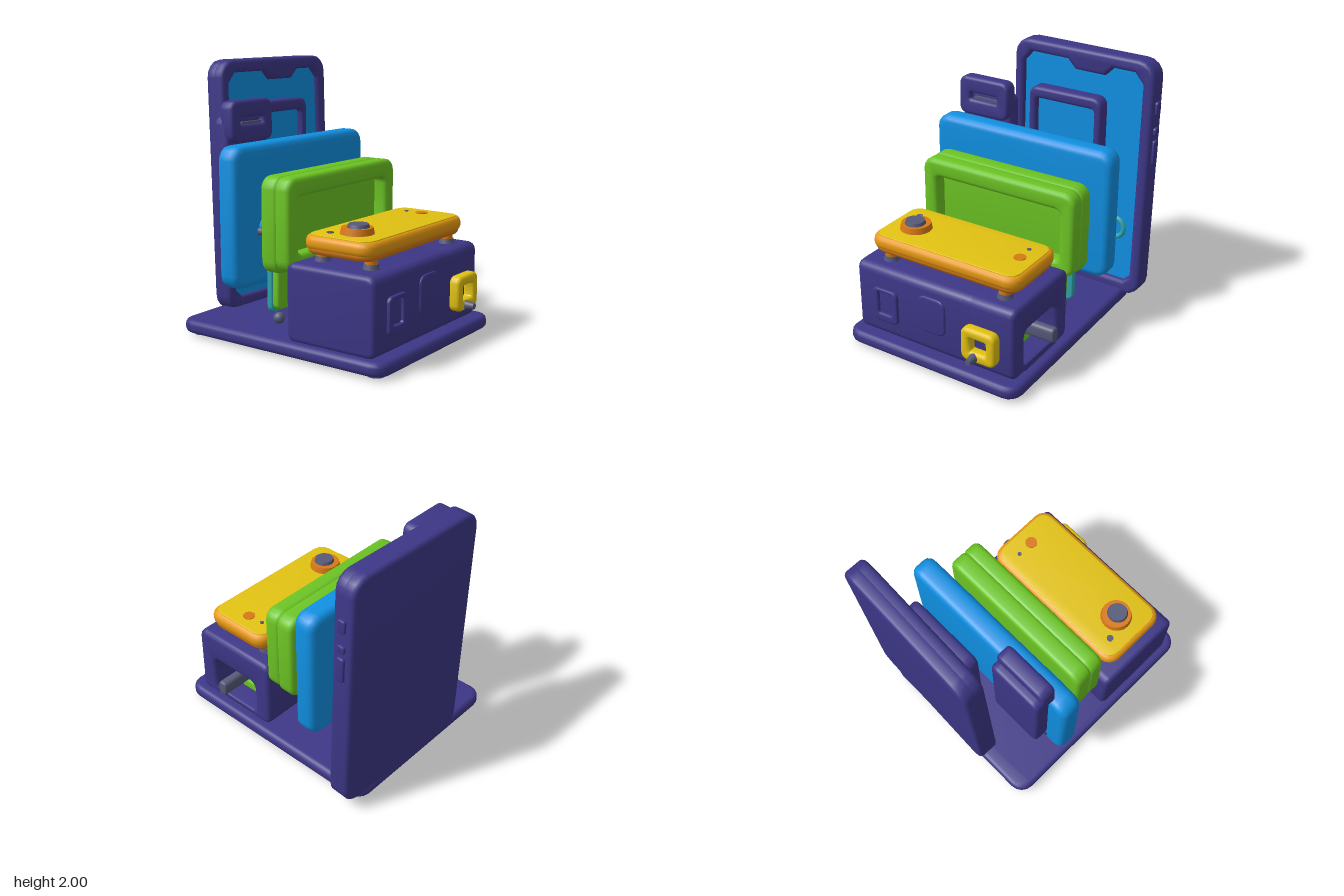
import * as THREE from 'three';
import { toCreasedNormals } from 'three/addons/utils/BufferGeometryUtils.js';

const material = (name, color) => {
  const m = new THREE.MeshStandardMaterial({ color });
  m.name = name;
  return m;
};

export function createModel() {
  const root = new THREE.Group();
  root.name = 'explodedDevice';
  const purple = material('deep purple', 0x3d3787);
  const blue = material('bright blue', 0x1090e2);
  const green = material('leaf green', 0x6cc424);
  const yellow = material('yellow', 0xe2c212);
  const amber = material('amber', 0xf0a014);
  const orange = material('orange', 0xd87a14);
  const grey = material('slate grey', 0x565a78);
  const teal = material('teal', 0x2fa8ae);

  // Rounded rectangle outline, usable as shape or hole
  function roundRect(path, x0, x1, y0, y1, r) {
    const corners = [[x1 - r, y0 + r, -0.5], [x1 - r, y1 - r, 0], [x0 + r, y1 - r, 0.5], [x0 + r, y0 + r, 1]];
    const pts = [];
    for (const [cx, cy, a] of corners)
      for (let i = 0; i <= 4; i++) {
        const t = (a + i / 8) * Math.PI;
        pts.push(new THREE.Vector2(cx + r * Math.cos(t), cy + r * Math.sin(t)));
      }
    return path.setFromPoints(pts);
  }

  function add(name, geo, mat, x = 0, y = 0, z = 0, parent = root) {
    const mesh = new THREE.Mesh(geo, mat);
    mesh.name = name;
    mesh.position.set(x, y, z);
    parent.add(mesh);
    return mesh;
  }

  // Soft-edged slab filling the given ranges, with its outline facing along the axis
  function slab(name, mat, X, Y, Z, { axis = 'z', r = 0.06, bevel = 0.03, holes = [], parent = root } = {}) {
    const size = [X, Y, Z].map(([a, b]) => b - a);
    const [w, h, d] = axis === 'z' ? size : axis === 'y' ? [size[0], size[2], size[1]] : [size[2], size[1], size[0]];
    const shape = roundRect(new THREE.Shape(), -w / 2, w / 2, -h / 2, h / 2, r);
    shape.holes.push(...holes);
    let geo = new THREE.ExtrudeGeometry(shape, {
      depth: d - 2 * bevel, bevelEnabled: bevel > 0, bevelThickness: bevel,
      bevelSize: bevel, bevelOffset: -bevel, bevelSegments: 3,
    });
    geo.translate(0, 0, bevel - d / 2);
    if (axis === 'y') geo.rotateX(-Math.PI / 2);
    if (axis === 'x') geo.rotateY(Math.PI / 2);
    geo = toCreasedNormals(geo, 0.75);
    return add(name, geo, mat, (X[0] + X[1]) / 2, (Y[0] + Y[1]) / 2, (Z[0] + Z[1]) / 2, parent);
  }

  const hole = (...a) => roundRect(new THREE.Path(), ...a);
  function disc(name, mat, r, len, x, y, z, axis = 'y', r2 = r) {
    const geo = new THREE.CylinderGeometry(r2, r, len, 20);
    if (axis === 'z') geo.rotateX(Math.PI / 2);
    if (axis === 'x') geo.rotateZ(-Math.PI / 2);
    return add(name, geo, mat, x, y, z);
  }

  // Base plate and feet
  slab('basePlate', purple, [-0.81, 0.67], [0.02, 0.12], [-0.88, 0.91], { axis: 'y', r: 0.11, bevel: 0.035 });
  for (const x of [-0.69, 0.55])
    for (const z of [-0.76, 0.79]) disc('foot', grey, 0.06, 0.03, x, 0.015, z);

  // Back panel: solid back, raised rim with a notched opening, blue lining
  const panel = new THREE.Group();
  panel.name = 'backPanel';
  panel.position.set(0.2, 1.04, -0.827);
  panel.rotation.set(-0.025, -0.035, 0);
  root.add(panel);
  const opening = new THREE.Path().setFromPoints([
    [-0.46, -0.85], [0.45, -0.85], [0.51, -0.79], [0.51, 0.78], [0.44, 0.86], [0.26, 0.86],
    [0.19, 0.79], [-0.06, 0.79], [-0.13, 0.86], [-0.45, 0.86], [-0.52, 0.78], [-0.52, -0.79],
  ].map(([x, y]) => new THREE.Vector2(x, y)));
  slab('panelBack', purple, [-0.6, 0.6], [-0.96, 0.955], [-0.085, 0.035], { r: 0.13, parent: panel });
  slab('panelRim', purple, [-0.6, 0.6], [-0.96, 0.955], [-0.04, 0.085], { r: 0.13, holes: [opening], parent: panel });
  slab('panelLining', blue, [-0.54, 0.53], [-0.87, 0.88], [0.03, 0.04], { bevel: 0, parent: panel });
  for (const [y0, y1] of [[0.16, 0.35], [0.39, 0.45], [0.55, 0.65]])
    slab('sideButton', purple, [0.59, 0.62], [y0, y1], [-0.03, 0.03], { axis: 'x', r: 0.015, bevel: 0.008, parent: panel });
  const ring = new THREE.Mesh(new THREE.TorusGeometry(0.08, 0.02, 8, 24), teal);
  ring.name = 'panelRing';
  ring.position.set(0.34, -0.42, 0.045);
  panel.add(ring);

  // Framed screen in front of the back panel
  slab('screenFrame', purple, [-0.19, 0.43], [1.04, 1.68], [-0.77, -0.645],
    { r: 0.07, bevel: 0.025, holes: [hole(-0.25, 0.25, -0.25, 0.23, 0.03)] });
  slab('screenFace', blue, [-0.16, 0.4], [1.07, 1.65], [-0.705, -0.697], { r: 0.05, bevel: 0 });

  // Tall upright module with a slotted head
  slab('uprightBody', purple, [-0.69, -0.25], [0.72, 1.62], [-0.61, -0.48]);
  const head = slab('uprightHead', purple, [-0.69, -0.25], [1.43, 1.73], [-0.55, -0.43],
    { holes: [hole(-0.12, 0.12, -0.025, 0.025, 0.01)], bevel: 0.025 });
  head.rotation.x = -0.04;
  slab('headSlot', grey, [-0.57, -0.35], [1.55, 1.575], [-0.48, -0.455], { r: 0.008, bevel: 0 });

  // Blue plate with a rear rivet
  slab('bluePlate', blue, [-0.82, 0.71], [0.41, 1.43], [-0.475, -0.3], { r: 0.1, bevel: 0.05 });
  disc('rearRivet', purple, 0.035, 0.01, -0.64, 0.53, -0.477, 'z');

  // Spacers, hanging strips and ball pins behind the green plate
  for (const x of [-0.47, 0.39]) {
    disc('spacer', blue, 0.1, 0.09, x, 0.82, -0.275, 'z', 0.12);
    slab('tealStrip', teal, [x - 0.1, x + 0.1], [0.22, 0.94], [-0.24, -0.19], { r: 0.05, bevel: 0.012 });
    slab('greenStrip', green, [x - 0.1, x + 0.06], [0.25, 0.6], [-0.19, -0.13], { r: 0.04, bevel: 0.015 });
    add('ballPin', new THREE.SphereGeometry(0.043, 14, 10), grey, x, 0.16, -0.21);
    disc('sideBolt', grey, 0.03, 0.07, x + Math.sign(x) * 0.14, 0.82, -0.225, 'z');
  }

  // Green tray: deep front rim over a solid rear layer
  slab('trayRear', green, [-0.69, 0.62], [0.54, 1.23], [-0.195, -0.045], { r: 0.09, bevel: 0.035 });
  slab('trayRim', green, [-0.69, 0.62], [0.56, 1.23], [-0.07, 0.065],
    { r: 0.09, bevel: 0.035, holes: [hole(-0.535, 0.535, -0.21, 0.195, 0.04)] });

  // Main box with a recess in its left end
  slab('boxBody', purple, [-0.75, 0.28], [0.11, 0.67], [0.08, 0.81], { axis: 'x', r: 0.06, bevel: 0.035 });
  slab('boxOpenEnd', purple, [0.14, 0.6], [0.11, 0.67], [0.08, 0.81],
    { axis: 'x', r: 0.06, bevel: 0.035, holes: [hole(-0.215, 0.215, -0.24, 0.055, 0.05)] });
  slab('axleRod', grey, [0.25, 0.72], [0.29, 0.405], [0.415, 0.49], { axis: 'x', r: 0.03, bevel: 0.015 });
  slab('innerBlock', green, [0.28, 0.42], [0.13, 0.22], [0.3, 0.55], { r: 0.02, bevel: 0.01 });
  slab('rearPad', purple, [-0.2, 0.04], [0.23, 0.5], [0.045, 0.1], { r: 0.04, bevel: 0.015 });

  // Front fittings of the box
  slab('smallFrame', purple, [-0.6, -0.38], [0.24, 0.51], [0.79, 0.835],
    { r: 0.04, bevel: 0.012, holes: [hole(-0.06, 0.06, -0.07, 0.11, 0.015)] });
  slab('frontPad', purple, [-0.2, 0.035], [0.28, 0.57], [0.79, 0.825], { r: 0.06, bevel: 0.012 });
  slab('portFrame', yellow, [0.21, 0.49], [0.22, 0.48], [0.8, 0.89],
    { r: 0.05, bevel: 0.025, holes: [hole(-0.065, 0.065, -0.05, 0.055, 0.01)] });
  disc('portPin', grey, 0.038, 0.09, 0.32, 0.26, 0.91, 'z', 0.022);

  // Yellow lid on standoffs
  for (const x of [-0.55, 0.43])
    for (const z of [0.25, 0.65]) {
      disc('standoff', orange, 0.045, 0.05, x, 0.72, z);
      disc('standoffCollar', grey, 0.06, 0.04, x, 0.685, z, 'y', 0.05);
    }
  slab('lidBottom', orange, [-0.68, 0.555], [0.73, 0.82], [0.17, 0.72], { axis: 'y', r: 0.1, bevel: 0.04 });
  slab('lidSides', amber, [-0.69, 0.565], [0.76, 0.866], [0.16, 0.73], { axis: 'y', r: 0.1, bevel: 0.04 });
  slab('lidTop', yellow, [-0.66, 0.535], [0.862, 0.87], [0.19, 0.7], { axis: 'y', r: 0.08, bevel: 0.003 });

  // Knob, socket and screws on the lid
  disc('knobBase', orange, 0.12, 0.05, -0.455, 0.89, 0.47, 'y', 0.11);
  disc('knobCap', grey, 0.08, 0.03, -0.455, 0.924, 0.48, 'y', 0.07);
  disc('socket', orange, 0.045, 0.008, 0.415, 0.872, 0.44);
  disc('screw', grey, 0.025, 0.008, -0.545, 0.872, 0.31);
  disc('screw', grey, 0.015, 0.008, 0.41, 0.872, 0.31);

  return root;
}
